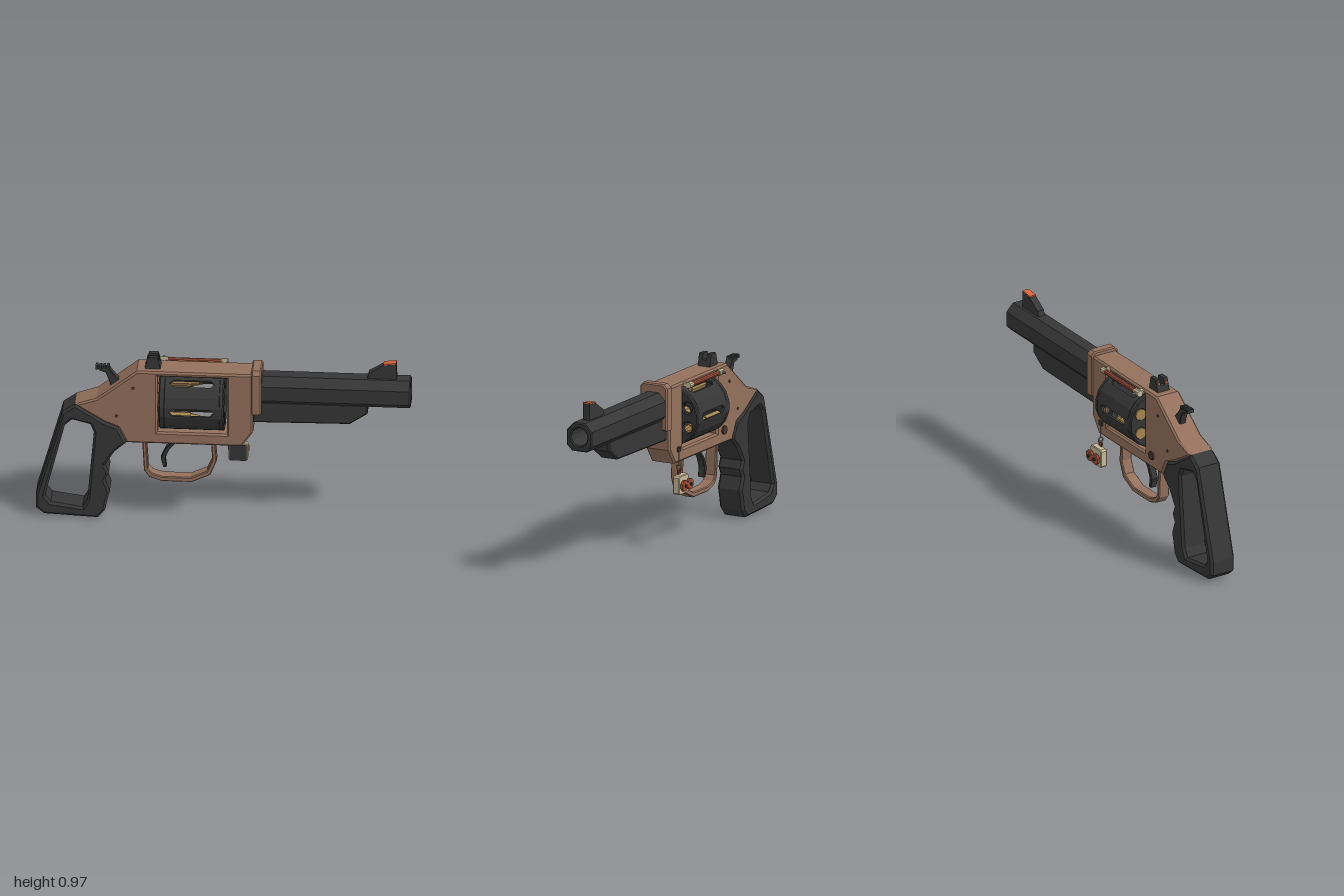
import * as THREE from 'three';

const mat = (name, color) => {
  const m = new THREE.MeshStandardMaterial({ color });
  m.name = name;
  return m;
};
const M = {
  bronze: mat('bronze brown', 0x93705c),
  dark: mat('charcoal', 0x363636),
  brass: mat('brass', 0xa5854f),
  cream: mat('cream', 0xc6b799),
  red: mat('rust red', 0x9c4f3a),
  orange: mat('sight orange', 0xd2643a),
  grey: mat('steel grey', 0x8a8a86),
  umber: mat('dark umber', 0x4a342b),
};
for (const m of Object.values(M)) m.flatShading = true;

const pts = (a) => a.map(([x, y]) => new THREE.Vector2(x, y));
const ngon = (n, r, cx = 0, cy = 0, start = 0) =>
  Array.from({ length: n }, (_, i) => {
    const a = start + (i * 2 * Math.PI) / n;
    return [cx + r * Math.cos(a), cy + r * Math.sin(a)];
  });

// Side outline (x, y) with holes, centred on z, with an inward bevel
function slab(outline, half, bevel = 0, holes = []) {
  const s = new THREE.Shape(pts(outline));
  for (const h of holes) s.holes.push(new THREE.Path(pts(h)));
  const g = new THREE.ExtrudeGeometry(s, {
    depth: 2 * (half - bevel), bevelEnabled: bevel > 0, bevelSegments: 1,
    bevelSize: bevel, bevelThickness: bevel, bevelOffset: -bevel,
  });
  return g.translate(0, 0, bevel - half);
}
// Cross-section (z, y) run along x from x0 to x1
const along = (outline, x0, x1, bevel = 0, holes = []) =>
  slab(outline, (x1 - x0) / 2, bevel, holes).rotateY(Math.PI / 2).translate((x0 + x1) / 2, 0, 0);

const rodX = (r, x0, x1, n = 10, r2 = r) =>
  new THREE.CylinderGeometry(r2, r, x1 - x0, n).rotateZ(-Math.PI / 2).translate((x0 + x1) / 2, 0, 0);
const rodZ = (r, len, n = 10) => new THREE.CylinderGeometry(r, r, len, n).rotateX(Math.PI / 2);
const box = (x0, x1, y0, y1, z0, z1) =>
  new THREE.BoxGeometry(x1 - x0, y1 - y0, z1 - z0).translate((x0 + x1) / 2, (y0 + y1) / 2, (z0 + z1) / 2);

export function createModel() {
  const model = new THREE.Group();
  const add = (name, geo, material, x = 0, y = 0, z = 0, parent = model) => {
    const mesh = new THREE.Mesh(geo, material);
    mesh.name = name;
    mesh.position.set(x, y, z);
    parent.add(mesh);
    return mesh;
  };

  // Frame with an open window for the drum
  add('frame', slab(
    [[-0.79, 0.685], [-0.635, 0.585], [-0.56, 0.555], [-0.515, 0.465], [0.1, 0.465], [0.16, 0.55],
      [0.16, 0.897], [-0.46, 0.897], [-0.58, 0.8], [-0.675, 0.725]],
    0.075, 0.01, [[[-0.35, 0.535], [0.02, 0.535], [0.02, 0.868], [-0.35, 0.868]]]), M.bronze);
  add('frameCollar', along(
    [[-0.083, 0.665], [0.083, 0.665], [0.083, 0.898], [0.062, 0.92], [-0.062, 0.92], [-0.083, 0.898]],
    0.15, 0.205, 0.007), M.bronze);

  // Hollow grip with finger grooves
  add('grip', slab(
    [[-0.79, 0.685], [-0.86, 0.635], [-1, 0.135], [-1, 0.055], [-0.955, 0.018], [-0.67, 0.005], [-0.63, 0.05],
      [-0.62, 0.105], [-0.605, 0.165], [-0.63, 0.235], [-0.61, 0.28], [-0.63, 0.325], [-0.58, 0.405],
      [-0.515, 0.465], [-0.56, 0.555], [-0.635, 0.585]],
    0.075, 0.013, [[[-0.807, 0.59], [-0.71, 0.565], [-0.69, 0.52], [-0.725, 0.11], [-0.75, 0.065],
      [-0.92, 0.09], [-0.95, 0.13], [-0.845, 0.555]]]), M.dark);

  // Barrel, lug and bore
  add('barrel', along(
    [[-0.045, 0.717], [0.045, 0.717], [0.076, 0.748], [0.076, 0.83], [0.034, 0.874], [-0.034, 0.874],
      [-0.076, 0.83], [-0.076, 0.748]],
    0.2, 1, 0.006, [ngon(12, 0.05, 0, 0.797)]), M.dark);
  add('barrelLug', slab(
    [[0.155, 0.602], [0.675, 0.61], [0.77, 0.675], [0.77, 0.73], [0.155, 0.73]], 0.054, 0.008), M.dark);

  // Sights
  add('frontSight', slab(
    [[0.765, 0.865], [0.925, 0.865], [0.922, 0.963], [0.855, 0.955], [0.775, 0.905]], 0.02), M.dark);
  add('frontSightInsert', slab(
    [[0.853, 0.955], [0.922, 0.963], [0.922, 0.97], [0.853, 0.962]], 0.019), M.orange);
  add('rearSightBase', slab([[-0.422, 0.89], [-0.335, 0.89], [-0.343, 0.93], [-0.412, 0.93]], 0.037), M.dark);
  for (const s of [-1, 1]) {
    const ear = slab([[-0.412, 0.93], [-0.343, 0.93], [-0.35, 0.965], [-0.4, 0.965]], 0.0125);
    add('rearSightEar', ear, M.dark, 0, 0, s * 0.0245);
    add('rearSightDot', box(-0.411, -0.405, 0.936, 0.948, -0.006, 0.006), M.orange, 0, 0, s * 0.0245);
  }

  // Hammer with serrated spur
  add('hammer', slab(
    [[-0.68, 0.885], [-0.66, 0.865], [-0.63, 0.855], [-0.61, 0.8], [-0.6, 0.76], [-0.52, 0.76], [-0.51, 0.81],
      [-0.56, 0.815], [-0.59, 0.85], [-0.61, 0.88]], 0.02, 0.003), M.dark);
  for (let i = 0; i < 4; i++) add('hammerRidge', box(-0.685, -0.671, 0.873, 0.893, -0.019, 0.019), M.dark, i * 0.02);

  // Trigger and guard
  add('triggerGuard', slab(
    [[-0.435, 0.475], [-0.425, 0.28], [-0.395, 0.24], [-0.33, 0.218], [-0.17, 0.218], [-0.07, 0.265],
      [-0.037, 0.35], [-0.045, 0.475]],
    0.033, 0.005, [[[-0.413, 0.465], [-0.403, 0.29], [-0.38, 0.263], [-0.325, 0.246], [-0.175, 0.246],
      [-0.088, 0.287], [-0.06, 0.355], [-0.067, 0.465]]]), M.bronze);
  add('trigger', slab(
    [[-0.25, 0.475], [-0.31, 0.41], [-0.336, 0.35], [-0.322, 0.295], [-0.305, 0.297], [-0.313, 0.35],
      [-0.29, 0.405], [-0.26, 0.44], [-0.2, 0.475]], 0.02, 0.003), M.dark);

  // Drum: drilled end plates joined by flat panels, every third one slotted
  const drum = new THREE.Group();
  drum.name = 'drum';
  drum.position.y = 0.7;
  model.add(drum);
  const N = 18, R = 0.16, apothem = R * Math.cos(Math.PI / N), half = R * Math.sin(Math.PI / N);
  const chambers = Array.from({ length: 6 }, (_, i) => Math.PI / 6 + (i * Math.PI) / 3);
  const bores = chambers.map((a) => ngon(8, 0.03, 0.11 * Math.cos(a), 0.11 * Math.sin(a)));
  const rim = ngon(N, R, 0, 0, Math.PI / N);
  add('drumRearPlate', along(rim, -0.34, -0.305, 0.006, bores), M.dark, 0, 0, 0, drum);
  add('drumFrontPlate', along(rim, -0.02, 0.008, 0.006, bores), M.dark, 0, 0, 0, drum);
  const panel = [[-0.308, -half], [-0.016, -half], [-0.016, half], [-0.308, half]];
  const slot = [[-0.285, 0], [-0.265, -0.021], [-0.065, -0.021], [-0.045, 0], [-0.065, 0.021], [-0.265, 0.021]];
  for (let i = 0; i < N; i++) {
    const geo = slab(panel, 0.007, 0, i % 3 ? [] : [slot]).translate(0, 0, apothem - 0.007);
    add('drumPanel', geo.rotateX((i * 2 * Math.PI) / N), M.dark, 0, 0, 0, drum);
  }
  for (const a of chambers) {
    const y = 0.11 * Math.sin(a), z = 0.11 * Math.cos(a);
    add('roundRim', rodX(0.033, -0.346, -0.339, 8), M.brass, 0, y, z, drum);
    add('roundCase', rodX(0.028, -0.34, -0.17, 8), M.brass, 0, y, z, drum);
    add('roundTip', rodX(0.022, -0.17, -0.12, 8, 0.012), M.brass, 0, y, z, drum);
  }

  // Frame pins on both sides, larger screw on the right side
  for (const s of [-1, 1])
    for (const [x, y] of [[-0.48, 0.795], [-0.57, 0.625]])
      add('framePin', rodZ(0.009, 0.008), M.umber, x, y, s * 0.074);
  add('frameScrew', rodZ(0.024, 0.014), M.umber, -0.42, 0.54, -0.077);

  // Capped tube along the upper right edge
  const tube = new THREE.Group();
  tube.name = 'sideTube';
  tube.position.set(0, 0.881, -0.104);
  model.add(tube);
  add('tubeBody', rodX(0.014, -0.31, -0.015), M.red, 0, 0, 0, tube);
  add('tubeRearCap', rodX(0.018, -0.35, -0.305), M.cream, 0, 0, 0, tube);
  add('tubeFrontCap', rodX(0.018, -0.02, 0.015), M.cream, 0, 0, 0, tube);
  add('tubeNozzle', rodZ(0.008, 0.024, 8), M.grey, -0.328, 0, -0.022, tube);
  for (const x of [-0.328, -0.002]) add('tubeBracket', box(-0.012, 0.012, -0.01, 0.01, 0.01, 0.035), M.cream, x, 0, 0, tube);

  // Hanging charm
  const charm = new THREE.Group();
  charm.name = 'charm';
  charm.position.set(0.07, 0.352, -0.092);
  model.add(charm);
  add('charmBody', slab(
    [[-0.042, -0.052], [0.042, -0.052], [0.052, -0.042], [0.052, 0.042], [0.042, 0.052], [-0.042, 0.052],
      [-0.052, 0.042], [-0.052, -0.042]], 0.02, 0.004), M.cream, 0, 0, 0, charm);
  add('charmFacePlate', box(-0.045, 0.045, -0.045, 0.045, 0.019, 0.023), M.dark, 0, 0, 0, charm);
  for (const x of [-0.027, 0.027]) {
    add('charmStem', rodZ(0.014, 0.014, 8), M.dark, x, 0, -0.026, charm);
    add('charmKnob', rodZ(0.031, 0.014, 8).rotateZ(Math.PI / 8), M.red, x * 1.05, 0, -0.038, charm);
    add('charmKnobHub', rodZ(0.009, 0.01, 8), M.dark, x, 0, -0.048, charm);
  }
  add('charmLowerRing', new THREE.TorusGeometry(0.013, 0.005, 6, 12), M.red, 0, 0.066, 0.012, charm);
  add('charmUpperRing', new THREE.TorusGeometry(0.014, 0.004, 6, 12).rotateY(Math.PI / 2), M.grey, 0, 0.09, 0.012, charm);
  add('charmLink', new THREE.CylinderGeometry(0.004, 0.004, 0.085, 6), M.grey, 0, 0.145, 0.011, charm);
  add('charmHook', box(-0.014, 0.014, 0.175, 0.2, 0.007, 0.02), M.dark, 0, 0, 0, charm);
  return model;
}
